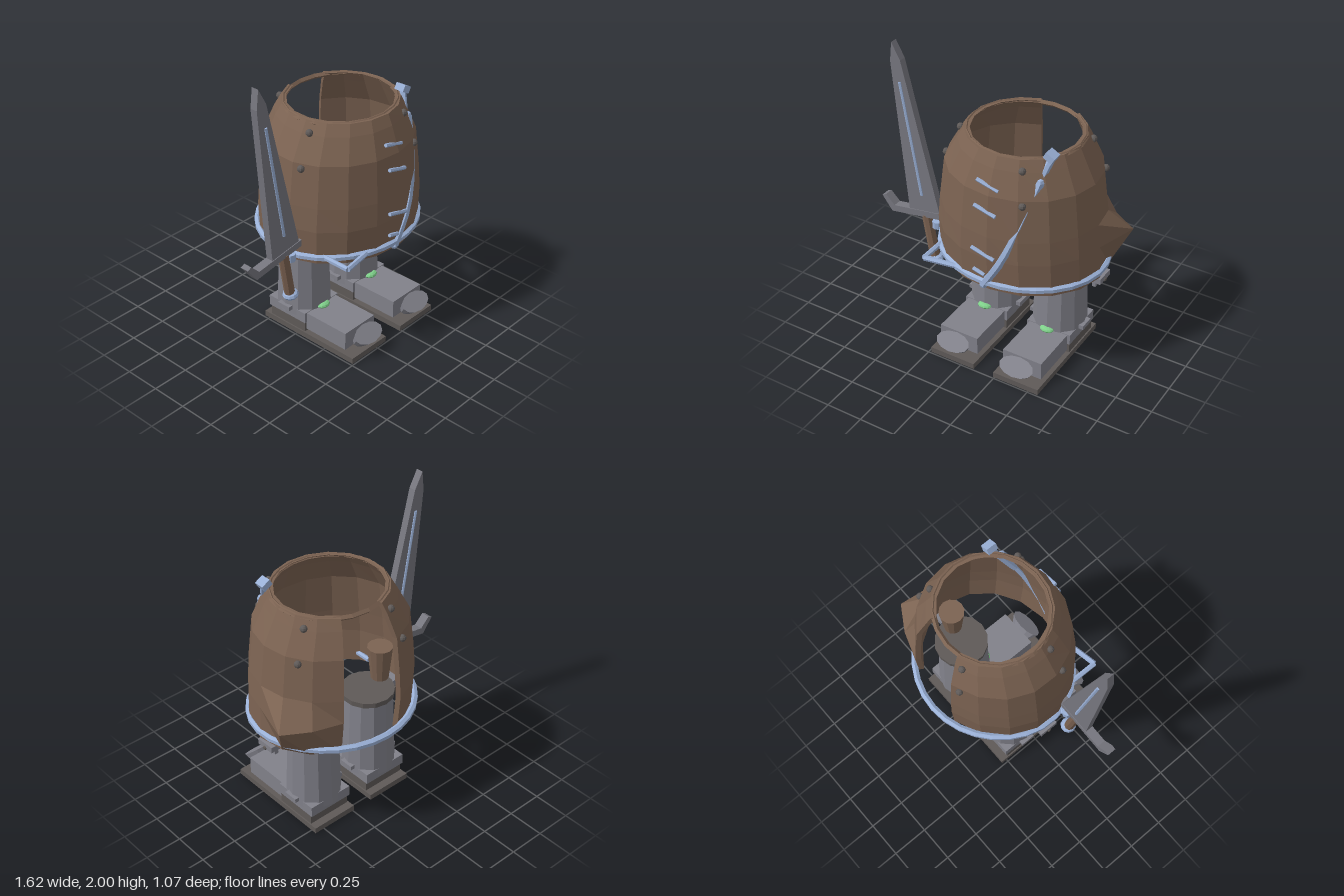
import * as THREE from 'three';

const mat = (name, color, double) => {
  const m = new THREE.MeshStandardMaterial({ color, flatShading: true });
  m.name = name;
  if (double) m.side = THREE.DoubleSide;
  return m;
};

export function createModel() {
  const wood = mat('brown wood', 0x7c6352, true);
  const steel = mat('grey steel', 0x81818a);
  const blade = mat('blade grey', 0x77777f);
  const blue = mat('blue metal', 0x9ab0d6);
  const dark = mat('dark grey', 0x5f5a58);
  const green = mat('green light', 0x7fd08a);

  const root = new THREE.Group();
  const add = (name, geo, m, parent = root, x = 0, y = 0, z = 0) => {
    const mesh = new THREE.Mesh(geo, m);
    mesh.name = name;
    mesh.position.set(x, y, z);
    parent.add(mesh);
    return mesh;
  };
  const V = (a) => new THREE.Vector3(...a);
  // straight rod between two points
  const rod = (name, a, b, r, m, sides = 6) => {
    const p = V(a), q = V(b), d = q.clone().sub(p);
    const mesh = add(name, new THREE.CylinderGeometry(r, r, d.length(), sides), m);
    mesh.position.copy(p).add(q).multiplyScalar(0.5);
    mesh.quaternion.setFromUnitVectors(new THREE.Vector3(0, 1, 0), d.normalize());
    return mesh;
  };

  // barrel rows: y, centre x, x radius, z radius
  const rows = [
    [0.69, 0.178, 0.555, 0.48], [0.92, 0.17, 0.555, 0.495], [1.08, 0.17, 0.54, 0.49],
    [1.36, 0.17, 0.505, 0.465], [1.52, 0.175, 0.42, 0.405], [1.59, 0.18, 0.38, 0.37],
  ];
  const rad = Math.PI / 180;
  const rowPoint = ([y, cx, rx, rz], deg, off = 0) =>
    [cx + (rx + off) * Math.sin(deg * rad), y, (rz + off) * Math.cos(deg * rad)];
  const surface = (deg, y, off) => {
    let i = 0;
    while (i < rows.length - 2 && rows[i + 1][0] < y) i++;
    const t = (y - rows[i][0]) / (rows[i + 1][0] - rows[i][0]);
    return rowPoint(rows[i].map((v, k) => v + (rows[i + 1][k] - v) * t), deg, off);
  };

  // barrel wall: closed cross-section swept round, open at the back, dented outward on one side
  const segs = 15, pos = [], index = [], ring = rows.length * 2;
  for (let i = 0; i <= segs; i++) {
    const deg = -165 + 21 * i;
    rows.forEach((r, k) => {
      let p = rowPoint(r, deg);
      if (k === 1 && i === 13) p = [0.81, 0.92, -0.26];
      if (k === 1 && i === 14) p = [0.64, 0.92, -0.365];
      pos.push(...p);
    });
    [...rows].reverse().forEach((r) => pos.push(...rowPoint(r, deg, -0.035)));
  }
  for (let i = 0; i < segs; i++) {
    for (let k = 0; k < ring; k++) {
      const a = i * ring + k, b = i * ring + (k + 1) % ring;
      index.push(a, a + ring, b, b, a + ring, b + ring);
    }
  }
  for (let k = 0; k < rows.length - 1; k++) {
    const e = segs * ring, o = ring - 1 - k;
    index.push(k, k + 1, o, k + 1, o - 1, o);
    index.push(e + k, e + o, e + k + 1, e + k + 1, e + o, e + o - 1);
  }
  const wall = new THREE.BufferGeometry();
  wall.setAttribute('position', new THREE.Float32BufferAttribute(pos, 3));
  wall.setIndex(index);
  const wallFlat = wall.toNonIndexed();
  wallFlat.computeVertexNormals();
  add('barrelWall', wallFlat, wood);

  // top rim and lower hoop
  const rim = new THREE.TorusGeometry(0.37, 0.018, 4, 20).rotateX(Math.PI / 2);
  add('barrelRim', rim.scale(1, 1, 0.94), wood, root, 0.18, 1.578, 0);
  const hoopPts = [];
  for (let i = 0; i < 24; i++) {
    const back = Math.max(0, -Math.cos(i * 15 * rad));
    hoopPts.push(V(rowPoint([0.735, 0.175, 0.555, 0.478 + 0.04 * back], i * 15)));
  }
  const hoop = new THREE.CatmullRomCurve3(hoopPts, true);
  add('lowerHoop', new THREE.TubeGeometry(hoop, 30, 0.023, 6, true), blue);

  // shoulder stubs inside the barrel
  for (const s of [-1, 1]) {
    add('innerStub', new THREE.CylinderGeometry(0.085, 0.06, 0.24, 12), wood, root, 0.17 + s * 0.36, 0.87, -0.06);
  }

  // diagonal strap and the end hooked over the rim
  const strap = new THREE.CatmullRomCurve3([
    [0.46, 1.46, 0.31], [0.39, 1.2, 0.405], [0.29, 0.93, 0.465], [0.165, 0.71, 0.475]].map(V));
  add('strap', new THREE.TubeGeometry(strap, 8, 0.028, 6), blue);
  for (const [t, r] of [[0, 1], [1, 1]]) {
    const cap = add('strapEnd', new THREE.SphereGeometry(0.027 * r, 6, 4), blue);
    cap.position.copy(strap.getPoint(t));
  }
  rod('innerStrap', [0.5, 1.62, 0.23], [0.4, 1.3, 0.36], 0.022, blue);
  const hook = add('strapHook', new THREE.BoxGeometry(0.065, 0.045, 0.07), blue, root, 0.49, 1.615, 0.24);
  hook.rotation.z = -0.5;

  // slash-shaped staples on the front
  for (const [x, y, l] of [[0.1, 1.435, 0.15], [0.1, 1.275, 0.15], [0.09, 0.975, 0.16], [0.1, 0.815, 0.08]]) {
    const z = surface(0, y, 0)[2];
    rod('staple', [x, y, z], [x + l, y - l * 0.27, z], 0.013, blue);
  }

  // rivets, in pairs down the planks
  for (const deg of [27, -74, 118, 202]) {
    for (const y of [1.53, 1.33]) {
      add('rivet', new THREE.SphereGeometry(0.024, 8, 6), dark, root, ...surface(deg, y, 0));
    }
  }

  // clips under the barrel sides
  for (const s of [-1, 1]) {
    const x = 0.17 + s * 0.51;
    add('clip', new THREE.BoxGeometry(0.13, 0.04, 0.13), steel, root, x, 0.665, -0.03);
    for (const dz of [-0.035, 0, 0.035]) {
      add('clipTooth', new THREE.BoxGeometry(0.025, 0.06, 0.02), steel, root, x + s * 0.01, 0.63, -0.03 + dz);
    }
    add('clipRivet', new THREE.SphereGeometry(0.016, 8, 6), dark, root, 0.17 + s * 0.57, 0.65, -0.03);
  }

  // sword holder bracket
  const bracket = [[-0.4, 0.74, 0.1], [-0.27, 0.74, 0.13], [-0.275, 0.74, 0.475], [0.04, 0.735, 0.42]];
  for (let i = 0; i < 3; i++) rod('swordBracket', bracket[i], bracket[i + 1], 0.018, blue);
  add('swordRing', new THREE.CylinderGeometry(0.035, 0.035, 0.05, 8), blue, root, -0.41, 0.74, 0.12);

  // legs and feet
  const leg = (cx) => {
    const g = new THREE.Group();
    g.name = 'leg';
    g.position.x = cx;
    root.add(g);
    add('shin', new THREE.CylinderGeometry(0.16, 0.182, 0.58, 12), steel, g, 0, 0.43, -0.085);
    add('hipDisc', new THREE.CylinderGeometry(0.178, 0.178, 0.035, 14), dark, g, 0.01, 0.722, -0.085);
    add('sole', new THREE.BoxGeometry(0.328, 0.04, 0.78), dark, g, 0, 0.02, 0.1);
    add('heel', new THREE.BoxGeometry(0.31, 0.07, 0.3), dark, g, 0, 0.075, -0.085);
    add('ankle', new THREE.BoxGeometry(0.32, 0.075, 0.32), steel, g, 0, 0.147, -0.09);
    add('foot', new THREE.BoxGeometry(0.28, 0.125, 0.42), steel, g, 0, 0.118, 0.195);
    const toe = new THREE.CylinderGeometry(0.068, 0.045, 0.09, 12).translate(0, -0.045, 0).scale(1.78, 1, 1);
    add('toeCap', toe, steel, g, 0, 0.15, 0.48).rotation.x = 0.64;
    add('ankleLight', new THREE.SphereGeometry(0.05, 10, 6).scale(1, 0.4, 0.7), green, g, 0, 0.19, 0.09);
    for (const s of [-1, 1]) {
      add('ankleClip', new THREE.BoxGeometry(0.035, 0.03, 0.1), steel, g, s * 0.182, 0.19, -0.085);
    }
  };
  leg(-0.071);
  leg(0.405);

  // sword
  const plate = (name, pts, depth, m) => {
    const s = new THREE.Shape(pts.map((p) => new THREE.Vector2(...p)));
    return add(name, new THREE.ExtrudeGeometry(s, { depth, bevelEnabled: false }), m, root, 0, 0, 0.13 - depth / 2);
  };
  plate('swordBlade', [[-0.6, 0.8], [-0.365, 0.835], [-0.625, 1.89], [-0.685, 2], [-0.7, 1.87]], 0.05, blade);
  plate('swordGuard', [[-0.74, 0.75], [-0.35, 0.81], [-0.35, 0.855], [-0.72, 0.8], [-0.785, 0.865], [-0.815, 0.85]], 0.06, blade);
  for (const z of [0.155, 0.105]) rod('bladeRidge', [-0.635, 1.74, z], [-0.5, 0.95, z], 0.011, blue);
  rod('swordGrip', [-0.485, 0.8, 0.13], [-0.43, 0.48, 0.13], 0.034, wood, 8);
  const pommel = add('swordPommel', new THREE.SphereGeometry(0.053, 10, 6).scale(1, 0.6, 1), blue, root, -0.423, 0.472, 0.13);
  pommel.rotation.z = 0.17;

  return root;
}
